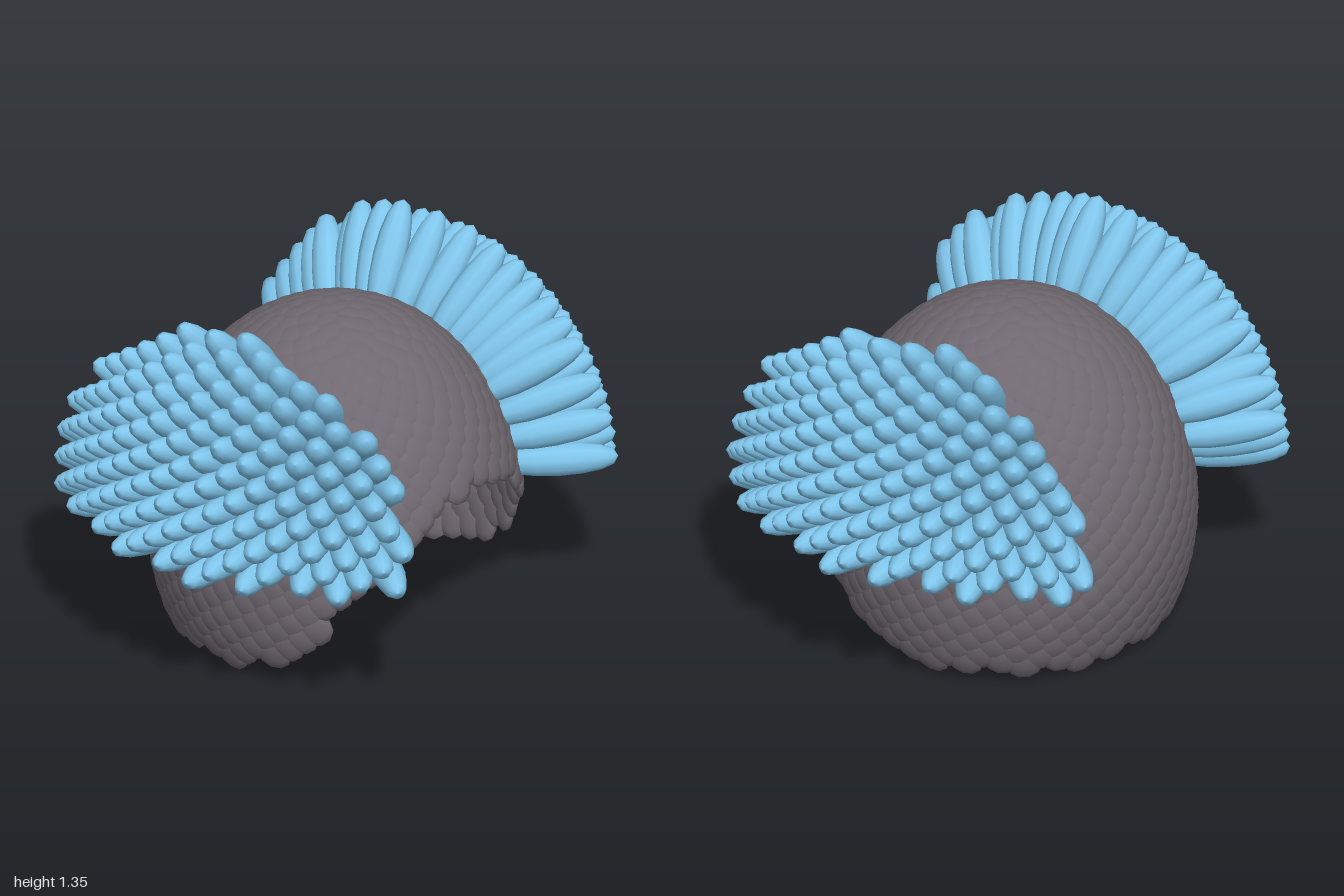
import * as THREE from 'three';
import { mergeGeometries } from 'three/addons/utils/BufferGeometryUtils.js';

const COUNT = 1300;
const UP = new THREE.Vector3(0, 1, 0);

// Evenly spread directions on a sphere, spiralling down the y axis
function spiralDirections(count) {
  const list = [];
  for (let i = 0; i < count; i++) {
    const y = 1 - 2 * (i + 0.5) / count;
    const r = Math.sqrt(1 - y * y);
    const a = Math.PI * (1 + Math.sqrt(5)) * i;
    list.push(new THREE.Vector3(Math.cos(a) * r, y, Math.sin(a) * r));
  }
  return list;
}

// Unit-sized petal with blunt, rounded ends
function petalGeometry() {
  const profile = [];
  for (let i = 0; i <= 8; i++) {
    const a = Math.PI * i / 8;
    profile.push(new THREE.Vector2(Math.abs(Math.sin(a)) ** 0.8, -Math.cos(a)));
  }
  return new THREE.LatheGeometry(profile, 10);
}

// Copy of a unit shape, stretched (across, along normal, down) and set on a surface
function place(shape, position, normal, size) {
  const east = new THREE.Vector3().crossVectors(UP, normal).normalize();
  const south = new THREE.Vector3().crossVectors(east, normal);
  const m = new THREE.Matrix4().makeBasis(east, normal, south);
  m.scale(new THREE.Vector3(...size)).setPosition(position);
  return shape.clone().applyMatrix4(m);
}

function merged(name, parts, material) {
  const mesh = new THREE.Mesh(mergeGeometries(parts), material);
  mesh.name = name;
  return mesh;
}

export function createModel() {
  const group = new THREE.Group();
  const directions = spiralDirections(COUNT);
  const capMaterial = new THREE.MeshStandardMaterial({ color: 0x6f6870 });
  const tuftMaterial = new THREE.MeshStandardMaterial({ color: 0x80c6ec });

  // Cap: thin overlapping scales on an egg-shaped shell, cut away at the front
  const scale = new THREE.SphereGeometry(1, 10, 5);
  const radii = new THREE.Vector3(0.65, 0.79, 0.645);
  const capScales = [];
  for (const d of directions) {
    const p = d.clone().multiply(radii);
    p.y += 0.4;
    const edge = 0.068 + 1.72 * Math.max(p.z, 0) ** 2;
    if (p.y < edge) continue;
    const normal = d.clone().divide(radii).normalize();
    capScales.push(place(scale, p, normal, [0.065, 0.022, 0.07]));
  }
  group.add(merged('cap', capScales, capMaterial));

  // Side tufts: long petals radiating from the middle of the head,
  // their roots reaching just through the cap
  const petal = petalGeometry();
  for (const [name, side] of [['leftTuft', 1], ['rightTuft', -1]]) {
    const petals = [];
    for (const d of directions) {
      if (d.y < 0 || d.x * side < 0.585) continue;
      const p = d.clone().multiplyScalar(0.785);
      p.y += 0.55;
      petals.push(place(petal, p, d, [0.06, 0.21, 0.06]));
    }
    group.add(merged(name, petals, tuftMaterial));
  }
  return group;
}
